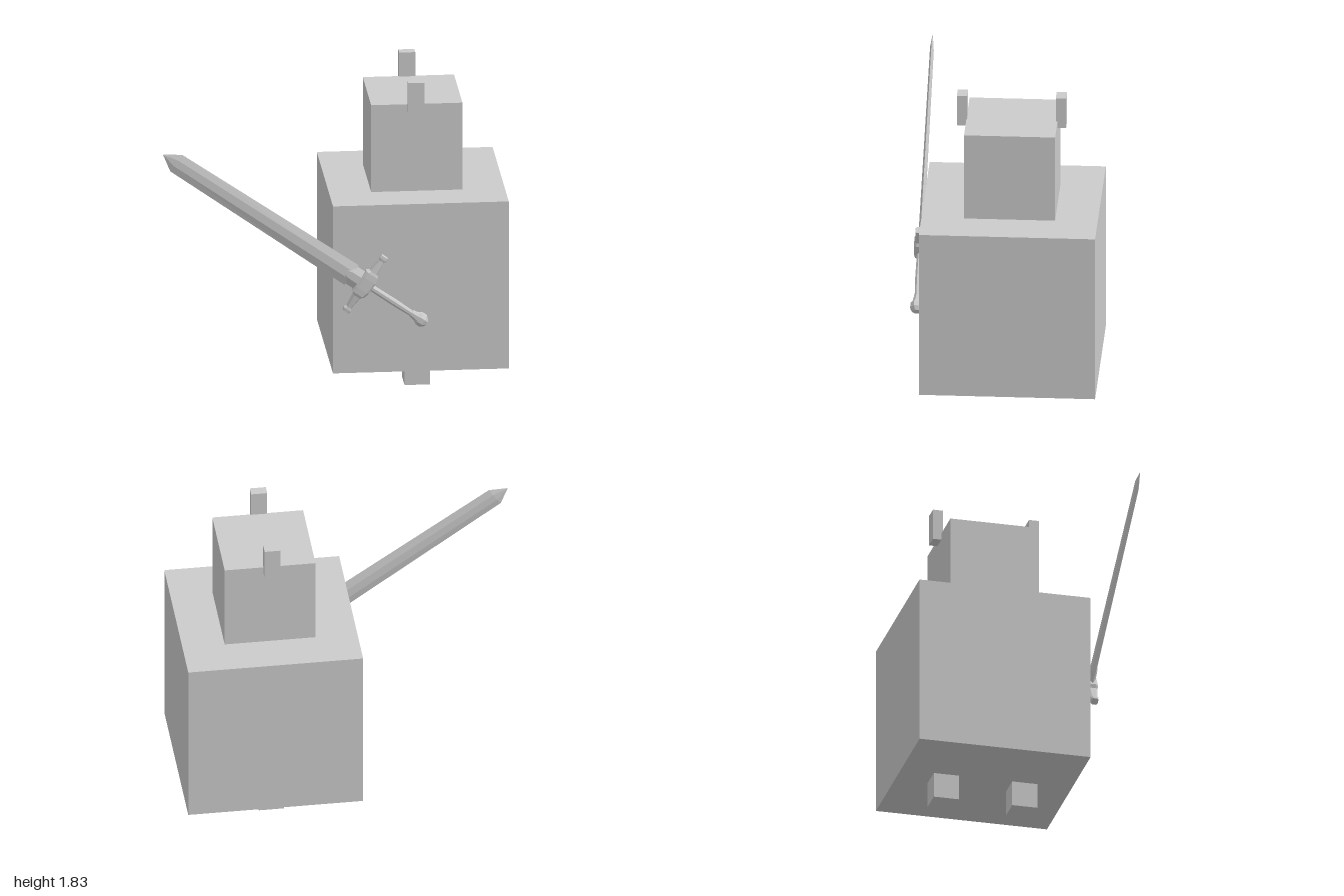
import * as THREE from 'three';

const material = new THREE.MeshStandardMaterial({ color: 0xcccccc, flatShading: true });

function add(parent, name, geometry) {
  const mesh = new THREE.Mesh(geometry, material);
  mesh.name = name;
  parent.add(mesh);
  return mesh;
}

// Box given by its minimum and maximum corners
function box(parent, name, [x0, y0, z0], [x1, y1, z1]) {
  const mesh = add(parent, name, new THREE.BoxGeometry(x1 - x0, y1 - y0, z1 - z0));
  mesh.position.set((x0 + x1) / 2, (y0 + y1) / 2, (z0 + z1) / 2);
}

// Faceted skin through equal-sized rings, closed at both ends
function loft(rings) {
  const n = rings[0].length;
  const positions = [];
  const tri = (a, b, c) => positions.push(...a, ...b, ...c);
  for (let r = 0; r < rings.length - 1; r++) {
    for (let i = 0; i < n; i++) {
      const j = (i + 1) % n;
      tri(rings[r][i], rings[r][j], rings[r + 1][j]);
      tri(rings[r][i], rings[r + 1][j], rings[r + 1][i]);
    }
  }
  const last = rings[rings.length - 1];
  for (let i = 1; i < n - 1; i++) {
    tri(rings[0][0], rings[0][i + 1], rings[0][i]);
    tri(last[0], last[i], last[i + 1]);
  }
  const geometry = new THREE.BufferGeometry();
  geometry.setAttribute('position', new THREE.Float32BufferAttribute(positions, 3));
  geometry.computeVertexNormals();
  return geometry;
}

// Blade ring: flattened hexagon at height y, half width w, half thickness t
const bladeRing = ([y, w, t]) => [
  [w, y, 0], [w * 0.35, y, -t], [-w * 0.35, y, -t],
  [-w, y, 0], [-w * 0.35, y, t], [w * 0.35, y, t],
];

// Guard ring: bevelled rectangle at x, centred on height y
const guardRing = ([x, y, h, t]) => [
  [1, 0.6], [0.7, 1], [-0.7, 1], [-1, 0.6], [-1, -0.6], [-0.7, -1], [0.7, -1], [1, -0.6],
].map(([a, b]) => [x, y + a * h, b * t]);

function lathe(points) {
  return new THREE.LatheGeometry(points.map(([r, y]) => new THREE.Vector2(r, y)), 8, Math.PI / 8);
}

// Sword modelled upright along y, with the pommel at the origin
function createSword() {
  const sword = new THREE.Group();
  sword.name = 'sword';

  add(sword, 'blade', loft([
    [0.49, 0.071, 0.014], [0.75, 0.069, 0.013], [1.725, 0.06, 0.01], [1.815, 0.002, 0.001],
  ].map(bladeRing)));
  add(sword, 'bladeCollar', loft([
    [0.42, 0.062, 0.022], [0.5, 0.06, 0.02], [0.53, 0.035, 0.014],
  ].map(bladeRing)));

  // Crossguard: stout centre, slim arms, flared ends
  const arm = [
    [0.035, 0.392, 0.046, 0.035], [0.07, 0.396, 0.04, 0.033], [0.085, 0.395, 0.024, 0.028],
    [0.165, 0.394, 0.015, 0.02], [0.18, 0.394, 0.024, 0.022], [0.197, 0.394, 0.021, 0.02],
  ];
  const mirrored = arm.map(([x, ...rest]) => [-x, ...rest]).reverse();
  add(sword, 'crossguard', loft([...mirrored, ...arm].map(guardRing)));

  add(sword, 'grip', lathe([[0, 0.03], [0.017, 0.03], [0.021, 0.2], [0.019, 0.36], [0, 0.36]]));
  add(sword, 'pommel', lathe([
    [0, -0.035], [0.024, -0.035], [0.041, -0.014], [0.041, 0.014],
    [0.027, 0.036], [0.021, 0.07], [0, 0.075],
  ]));
  return sword;
}

export function createModel() {
  const model = new THREE.Group();
  model.name = 'blockFigure';

  box(model, 'body', [-0.015, 0.15, -0.55], [1, 1.16, 0.465]);
  box(model, 'head', [0.228, 1.16, -0.305], [0.755, 1.685, 0.22]);

  // Ears and feet, paired along z
  box(model, 'frontEar', [0.437, 1.645, 0.215], [0.53, 1.83, 0.275]);
  box(model, 'backEar', [0.437, 1.645, -0.355], [0.53, 1.83, -0.295]);
  box(model, 'frontFoot', [0.417, 0, 0.11], [0.564, 0.15, 0.26]);
  box(model, 'backFoot', [0.417, 0, -0.355], [0.564, 0.15, -0.205]);

  // Sword slanting across the front
  const sword = createSword();
  sword.position.set(0.49, 0.475, 0.507);
  sword.rotation.z = 0.961;
  model.add(sword);
  return model;
}
